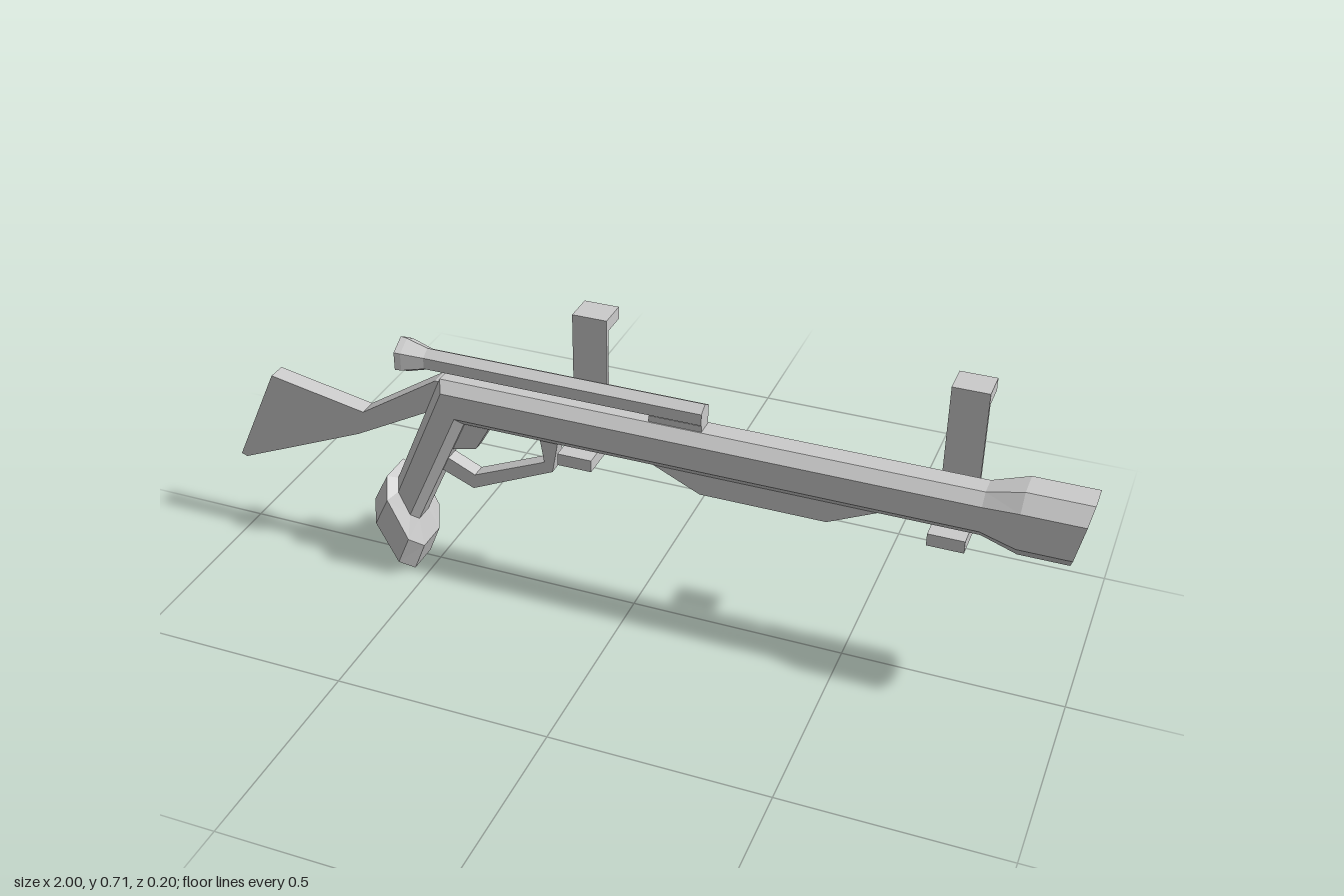
import * as THREE from 'three';

const MID = 0.021; // z of the symmetry plane of the main body
const mat = new THREE.MeshStandardMaterial({ color: 0xcccccc, flatShading: true, side: THREE.DoubleSide });

// Chamfered octagonal cross-section between a top and a bottom point in the xy plane
const OCT = [[0, 0.5], [0.22, 1], [0.78, 1], [1, 0.5], [1, -0.5], [0.78, -1], [0.22, -1], [0, -0.5]];
function octRing([tx, ty, bx, by, w]) {
  return OCT.map(([t, s]) => [tx + (bx - tx) * t, ty + (by - ty) * t, MID + s * w]);
}

// Skin consecutive rings and close both ends
function loft(rings) {
  const pos = [];
  const tri = (a, b, c) => pos.push(...a, ...b, ...c);
  const n = rings[0].length;
  for (let i = 0; i < rings.length - 1; i++) {
    for (let j = 0; j < n; j++) {
      const k = (j + 1) % n, p = rings[i], q = rings[i + 1];
      tri(p[j], p[k], q[k]);
      tri(p[j], q[k], q[j]);
    }
  }
  const first = rings[0], last = rings[rings.length - 1];
  for (let j = 1; j < n - 1; j++) {
    tri(first[0], first[j + 1], first[j]);
    tri(last[0], last[j], last[j + 1]);
  }
  const g = new THREE.BufferGeometry();
  g.setAttribute('position', new THREE.Float32BufferAttribute(pos, 3));
  g.computeVertexNormals();
  return g;
}

// Side outline extruded evenly about the symmetry plane
function plate(points, halfWidth) {
  const shape = new THREE.Shape(points.map(([x, y]) => new THREE.Vector2(x, y)));
  const g = new THREE.ExtrudeGeometry(shape, { depth: halfWidth * 2, bevelEnabled: false });
  return g.translate(0, 0, MID - halfWidth);
}

// Box given by its limits
function box(x0, x1, y0, y1, z0, z1) {
  const g = new THREE.BoxGeometry(x1 - x0, y1 - y0, z1 - z0);
  return g.translate((x0 + x1) / 2, (y0 + y1) / 2, (z0 + z1) / 2);
}

export function createModel() {
  const model = new THREE.Group();
  const add = (name, geometry, parent = model) => {
    const mesh = new THREE.Mesh(geometry, mat);
    mesh.name = name;
    parent.add(mesh);
    return mesh;
  };

  // Pommel, bent grip, barrel, flared muzzle and its inner funnel
  add('barrelAndGrip', loft([
    [-0.63, 0.175, -0.537, 0, 0.08],
    [-0.593, 0.248, -0.508, 0.072, 0.08],
    [-0.573, 0.238, -0.525, 0.135, 0.047],
    [-0.447, 0.531, -0.393, 0.425, 0.047],
    [0.78, 0.531, 0.78, 0.425, 0.047],
    [0.86, 0.555, 0.86, 0.403, 0.064],
    [1, 0.555, 0.968, 0.403, 0.064],
    [0.8, 0.492, 0.8, 0.462, 0.015],
  ].map(octRing)));

  // Shoulder stock
  add('stock', plate([[-1, 0.205], [-0.985, 0.2], [-0.67, 0.335], [-0.43, 0.465],
    [-0.43, 0.525], [-0.46, 0.522], [-0.652, 0.398], [-0.888, 0.444]], 0.022));

  // Trigger and its guard
  add('trigger', plate([[-0.4, 0.43], [-0.33, 0.43], [-0.37, 0.36], [-0.435, 0.345]], 0.015));
  add('triggerGuard', plate([[-0.165, 0.43], [-0.18, 0.345], [-0.38, 0.253], [-0.46, 0.287],
    [-0.45, 0.325], [-0.375, 0.29], [-0.2, 0.366], [-0.21, 0.43]], 0.018));

  // Rail below the barrel
  add('lowerRail', plate([[0.05, 0.43], [0.17, 0.374], [0.455, 0.374], [0.575, 0.43]], 0.023));

  // Six-sided sight tube with a hollow flared eyepiece
  const profile = [[0, -0.5], [0.036, -0.55], [0.044, -0.55], [0.042, -0.535], [0.027, -0.485], [0.027, 0.17], [0, 0.17]]
    .map(([r, x]) => new THREE.Vector2(r, x));
  const sight = new THREE.LatheGeometry(profile, 6, Math.PI / 2).rotateZ(-Math.PI / 2);
  add('sightTube', sight.translate(0, 0.562, MID));
  add('sightMount', box(0.05, 0.17, 0.52, 0.546, MID - 0.021, MID + 0.021));

  // Two hanging brackets: upright strip, top hook and foot under the barrel
  for (const x of [-0.155, 0.675]) {
    const bracket = new THREE.Group();
    bracket.name = 'bracket';
    add('bracketUpright', box(x, x + 0.08, 0.386, 0.713, -0.04, -0.03), bracket);
    add('bracketHook', box(x, x + 0.08, 0.684, 0.713, -0.1, -0.04), bracket);
    add('bracketFoot', box(x, x + 0.08, 0.386, 0.415, -0.03, 0.066), bracket);
    model.add(bracket);
  }
  return model;
}
